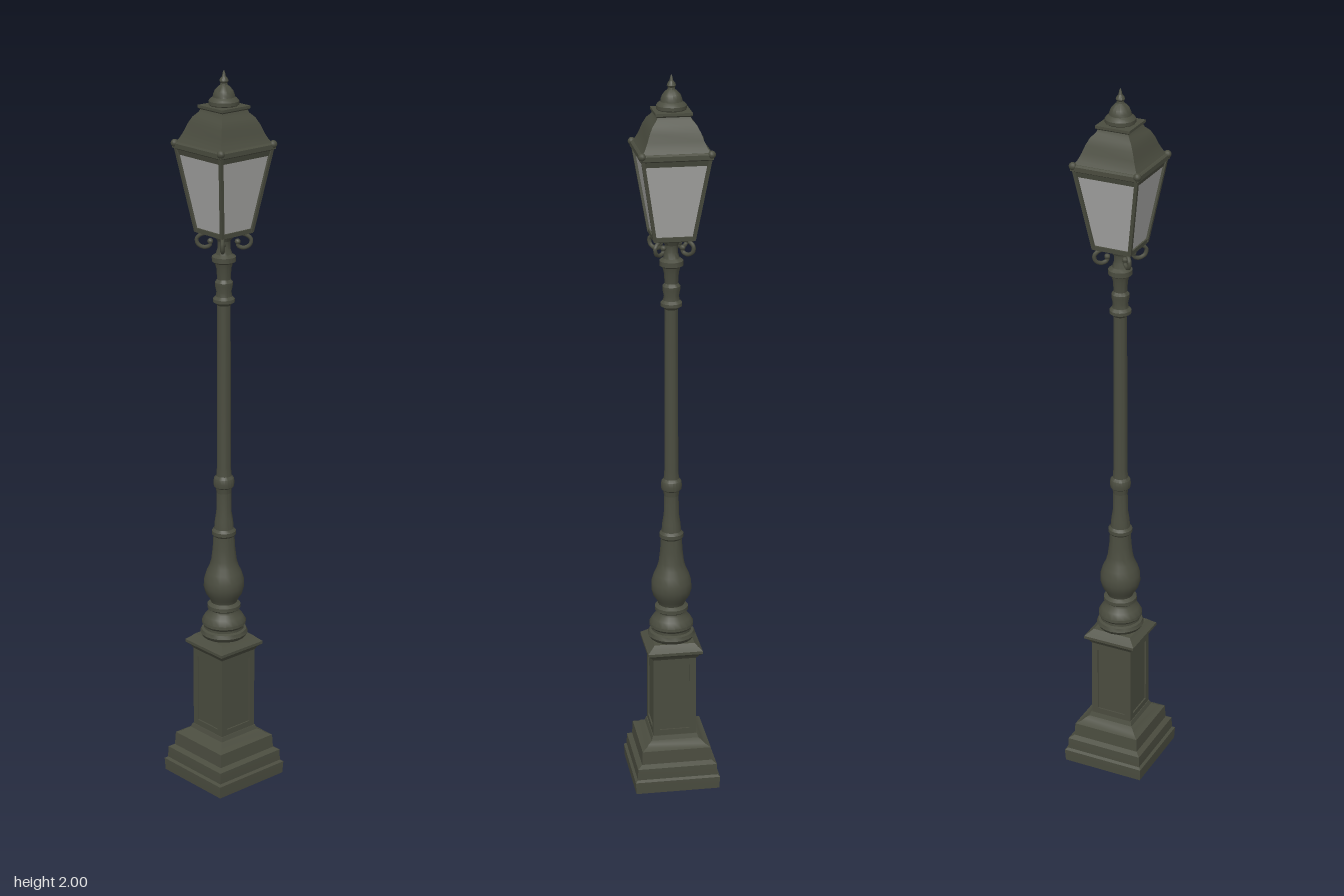
import * as THREE from 'three';
import { toCreasedNormals } from 'three/addons/utils/BufferGeometryUtils.js';

export function createModel() {
  const model = new THREE.Group();
  model.name = 'streetLamp';
  const iron = new THREE.MeshStandardMaterial({ color: 0x4a4c3f });
  iron.name = 'olive iron';
  const glass = new THREE.MeshStandardMaterial({ color: 0xa6a6a4 });
  glass.name = 'frosted glass';

  function add(name, geometry, material = iron, parent = model) {
    const mesh = new THREE.Mesh(geometry, material);
    mesh.name = name;
    parent.add(mesh);
    return mesh;
  }
  const points = (profile, scale = 1) => profile.map(([r, y]) => new THREE.Vector2(r * scale, y));
  // Round turning from [radius, height] pairs, bottom to top
  const turned = (profile, sides = 20) =>
    toCreasedNormals(new THREE.LatheGeometry(points(profile), sides), 0.6);
  // Square section from [half width, height] pairs, bottom to top
  const squared = (profile) => {
    const g = new THREE.LatheGeometry(points(profile, Math.SQRT2), 4);
    g.rotateY(Math.PI / 4);
    return toCreasedNormals(g, 0.5);
  };

  // Stepped plinth
  add('plinth', squared([
    [0, 0], [0.117, 0], [0.119, 0.035], [0.112, 0.04], [0.111, 0.072], [0.098, 0.08],
    [0.096, 0.118], [0.082, 0.124], [0.076, 0.13], [0.066, 0.136], [0.062, 0.148], [0, 0.148],
  ]));

  // Pedestal with a framed recessed panel on each side
  add('pedestal', squared([[0, 0.14], [0.056, 0.14], [0.056, 0.39], [0, 0.39]]));
  const frame = new THREE.Shape();
  frame.moveTo(-0.06, 0.14).lineTo(0.06, 0.14).lineTo(0.06, 0.385).lineTo(-0.06, 0.385).closePath();
  const hole = new THREE.Path();
  hole.moveTo(-0.042, 0.165).lineTo(-0.042, 0.36).lineTo(0.042, 0.36).lineTo(0.042, 0.165).closePath();
  frame.holes.push(hole);
  const frameGeo = new THREE.ExtrudeGeometry(frame, { depth: 0.006, bevelEnabled: false });
  frameGeo.translate(0, 0, 0.054);
  for (let i = 0; i < 4; i++) add('panelFrame', frameGeo).rotation.y = i * Math.PI / 2;
  add('pedestalCap', squared([
    [0, 0.38], [0.06, 0.38], [0.066, 0.39], [0.076, 0.398], [0.076, 0.406],
    [0.064, 0.416], [0.056, 0.424], [0, 0.424],
  ]));

  // Turned baluster at the foot of the column
  add('baluster', turned([
    [0.052, 0.42], [0.06, 0.425], [0.066, 0.435], [0.062, 0.445], [0.055, 0.448], [0.055, 0.455],
    [0.061, 0.462], [0.061, 0.47], [0.052, 0.485], [0.042, 0.496], [0.04, 0.503], [0.046, 0.508],
    [0.046, 0.518], [0.036, 0.525], [0.04, 0.536], [0.05, 0.55], [0.056, 0.572], [0.055, 0.592],
    [0.048, 0.615], [0.04, 0.632], [0.035, 0.65], [0.031, 0.685], [0.029, 0.72], [0.033, 0.725],
    [0.033, 0.735], [0.027, 0.742], [0.025, 0.765], [0.021, 0.79], [0.02, 0.85],
  ]));

  // Slender column with collars
  add('column', turned([
    [0.02, 0.845], [0.022, 0.86], [0.027, 0.864], [0.029, 0.875], [0.027, 0.888], [0.021, 0.895],
    [0.019, 0.92], [0.018, 1.375], [0.022, 1.38], [0.029, 1.384], [0.029, 1.393], [0.022, 1.4],
    [0.02, 1.412], [0.024, 1.43], [0.024, 1.438], [0.018, 1.446], [0.02, 1.475], [0.024, 1.49],
    [0.032, 1.495], [0.032, 1.508], [0.022, 1.515], [0.017, 1.53], [0.017, 1.55], [0.03, 1.572],
  ]));

  // Scroll brackets on the diagonals below the lantern
  const scrollPath = new THREE.CatmullRomCurve3([
    [0.014, 1.556], [0.03, 1.568], [0.055, 1.568], [0.071, 1.556], [0.068, 1.54],
    [0.052, 1.532], [0.037, 1.537], [0.036, 1.548],
  ].map(([x, y]) => new THREE.Vector3(x, y, 0)));
  const scrollGeo = new THREE.TubeGeometry(scrollPath, 28, 0.0055, 6);
  for (let i = 0; i < 4; i++) {
    const bracket = new THREE.Group();
    bracket.name = 'scrollBracket';
    bracket.rotation.y = Math.PI / 4 + i * Math.PI / 2;
    add('scroll', scrollGeo, iron, bracket);
    add('scrollEnd', new THREE.SphereGeometry(0.008, 8, 6), iron, bracket).position.set(0.036, 1.548, 0);
    model.add(bracket);
  }

  // Tapered lantern
  add('lanternFloor', squared([[0, 1.564], [0.038, 1.566], [0.054, 1.572], [0.055, 1.584], [0, 1.584]]));
  add('lanternGlass', squared([[0.05, 1.58], [0.083, 1.785]]), glass);
  const foot = new THREE.Vector3(0.051, 1.575, 0.051);
  const head = new THREE.Vector3(0.087, 1.795, 0.087);
  const barGeo = new THREE.BoxGeometry(0.009, foot.distanceTo(head), 0.009);
  for (let i = 0; i < 4; i++) {
    const corner = new THREE.Group();
    corner.name = 'lanternCorner';
    corner.rotation.y = i * Math.PI / 2;
    const bar = add('cornerBar', barGeo, iron, corner);
    bar.position.copy(foot).add(head).multiplyScalar(0.5);
    bar.quaternion.setFromUnitVectors(new THREE.Vector3(0, 1, 0), head.clone().sub(foot).normalize());
    add('cornerKnob', new THREE.SphereGeometry(0.0105, 10, 8), iron, corner).position.set(0.09, 1.808, 0.09);
    model.add(corner);
  }
  add('eave', squared([
    [0, 1.778], [0.084, 1.778], [0.088, 1.792], [0.095, 1.796], [0.095, 1.808], [0.09, 1.812], [0, 1.812],
  ]));

  // Bell-shaped roof and its cap plate
  add('roof', squared([
    [0.089, 1.81], [0.081, 1.822], [0.073, 1.84], [0.066, 1.86], [0.057, 1.878],
    [0.046, 1.89], [0.043, 1.897], [0.048, 1.901], [0.048, 1.908], [0, 1.91],
  ]));

  // Round crown and finial
  add('finial', turned([
    [0.033, 1.905], [0.04, 1.911], [0.04, 1.92], [0.035, 1.926], [0.029, 1.93], [0.028, 1.937],
    [0.024, 1.947], [0.016, 1.956], [0.01, 1.961], [0.009, 1.966], [0.012, 1.971],
    [0.01, 1.977], [0.005, 1.983], [0.003, 1.993], [0, 2],
  ], 16));
  return model;
}
